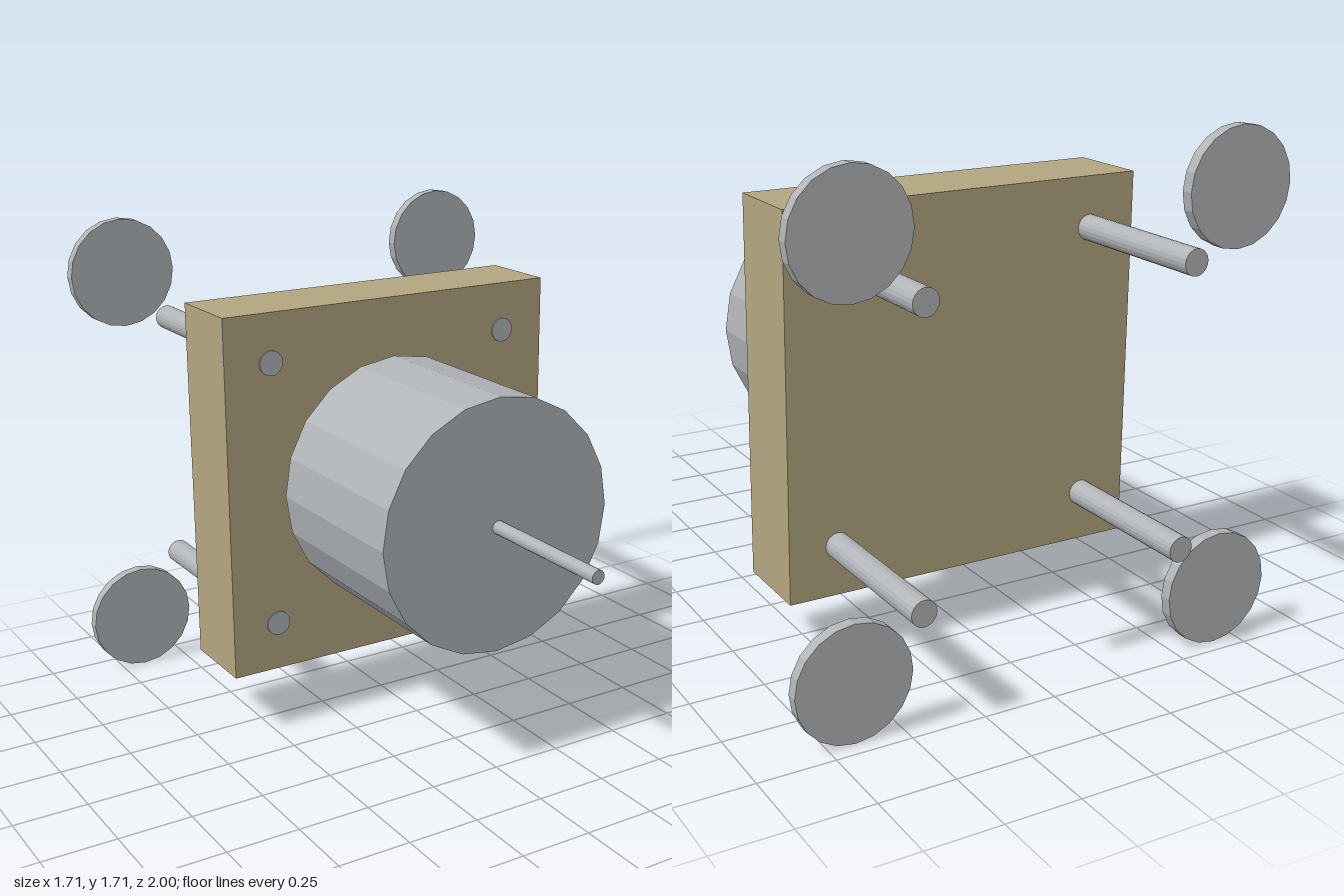
import * as THREE from 'three';

export function createModel() {
  const model = new THREE.Group();
  const metal = new THREE.MeshStandardMaterial({ color: 0xb0b4b7, flatShading: true });
  metal.name = 'grey metal';
  const board = new THREE.MeshStandardMaterial({ color: 0xb3a580, flatShading: true });
  board.name = 'tan board';
  const midY = 0.858;

  // Cylinder lying along z, between two depths
  function rod(name, radius, zBack, zFront, x, y) {
    const geometry = new THREE.CylinderGeometry(radius, radius, zFront - zBack, 20);
    geometry.rotateX(Math.PI / 2);
    const mesh = new THREE.Mesh(geometry, metal);
    mesh.name = name;
    mesh.position.set(x, y, (zBack + zFront) / 2);
    model.add(mesh);
  }

  // Square mounting board
  const plate = new THREE.Mesh(new THREE.BoxGeometry(1.266, 1.266, 0.286), board);
  plate.name = 'mountingBoard';
  plate.position.set(0, midY, -0.308);
  model.add(plate);

  // Motor body and its shaft
  rod('motorBody', 0.432, -0.143, 0.49, 0, midY);
  rod('motorShaft', 0.023, 0.48, 1, 0, midY);

  // Four corner posts, each with a disc beyond it
  for (const [side, sx] of [['left', 1], ['right', -1]]) {
    for (const [level, sy] of [['Upper', 1], ['Lower', -1]]) {
      rod(`${side}${level}Post`, 0.043, -1, -0.16, sx * 0.463, midY + sy * 0.463);
      rod(`${side}${level}Disc`, 0.192, -0.948, -0.908, sx * 0.662, midY + sy * 0.662);
    }
  }
  return model;
}
